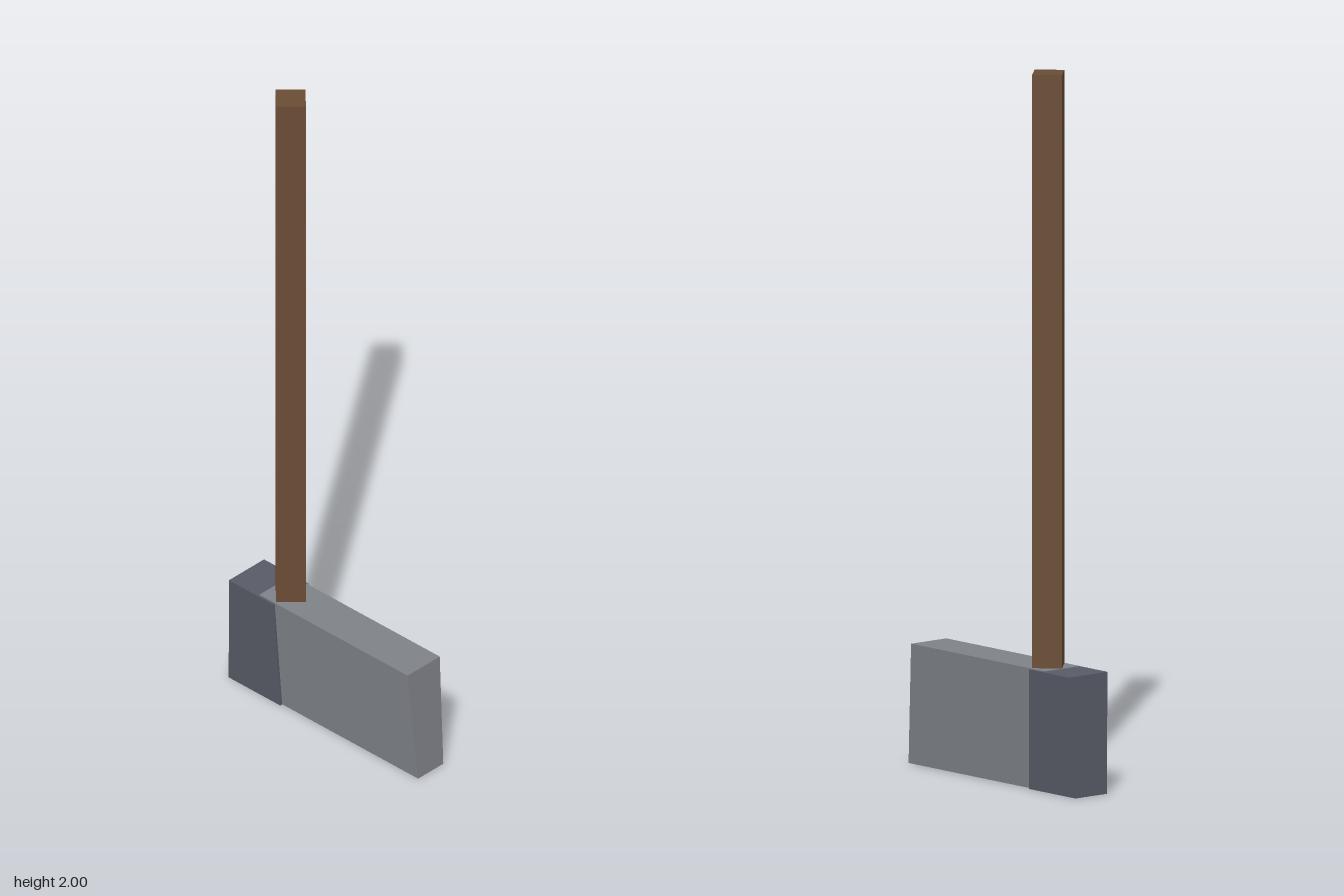
import * as THREE from 'three';

const paint = (name, color) => Object.assign(new THREE.MeshStandardMaterial({ color }), { name });

// Box whose top and bottom rectangles differ: each end is [halfWidth, backZ, frontZ]
function taperedBlock(name, y0, y1, bottom, top, material) {
  const geometry = new THREE.BoxGeometry(1, 1, 1);
  const p = geometry.attributes.position;
  for (let i = 0; i < p.count; i++) {
    const upper = p.getY(i) > 0;
    const [halfWidth, back, front] = upper ? top : bottom;
    p.setXYZ(i, Math.sign(p.getX(i)) * halfWidth, upper ? y1 : y0, p.getZ(i) > 0 ? front : back);
  }
  geometry.computeVertexNormals();
  const mesh = new THREE.Mesh(geometry, material);
  mesh.name = name;
  return mesh;
}

export function createModel() {
  const model = new THREE.Group();
  model.name = 'hammer';
  const wood = paint('brown wood', 0x6b4d35);
  const steel = paint('light steel', 0x7f8288);
  const darkSteel = paint('dark steel', 0x595c67);

  // Long front part of the head
  model.add(taperedBlock('headFront', 0.001, 0.34, [0.05, -0.22, 0.357], [0.064, -0.235, 0.33], steel));

  // Slightly wider rear part wrapped round its end
  model.add(taperedBlock('headRear', 0, 0.338, [0.057, -0.359, -0.162], [0.07, -0.346, -0.177], darkSteel));

  // Square handle turned on its corner
  const side = 0.058 * Math.SQRT2;
  const handle = new THREE.Mesh(new THREE.BoxGeometry(side, 1.94, side), wood);
  handle.name = 'handle';
  handle.position.set(0, 1.03, -0.177);
  handle.rotation.y = Math.PI / 4;
  model.add(handle);

  return model;
}
